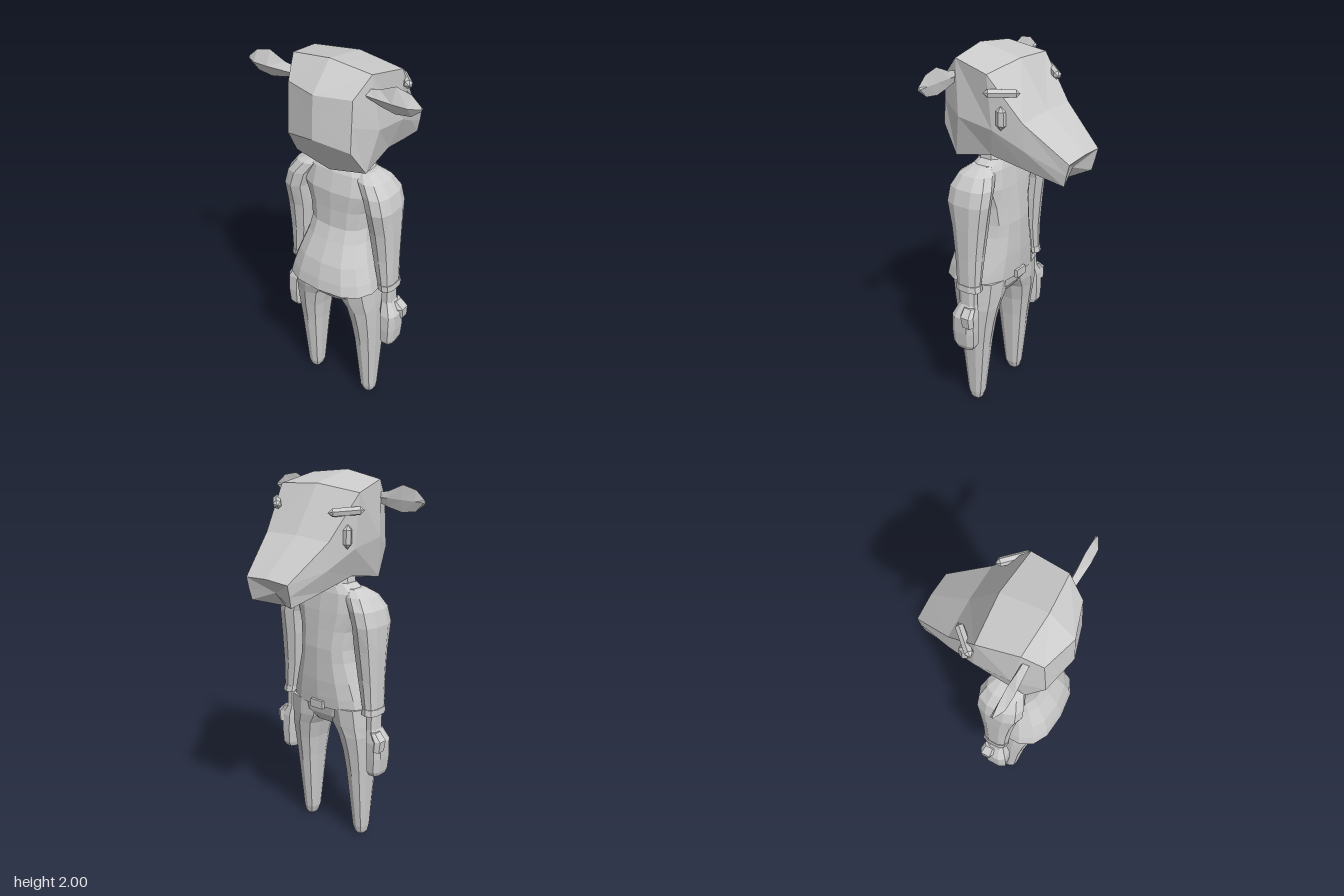
import * as THREE from 'three';

const grey = new THREE.MeshStandardMaterial({ color: 0xcccccc });
grey.name = 'plain grey';

// Flat-faced skin over rings of equal length, capped at both ends
function loft(rings) {
  const n = rings[0].length, tris = [];
  const v = rings.map(r => r.map(p => new THREE.Vector3(...p)));
  for (let i = 0; i < v.length - 1; i++) {
    for (let j = 0; j < n; j++) {
      const k = (j + 1) % n, a = v[i][j], b = v[i][k], c = v[i + 1][k], d = v[i + 1][j];
      tris.push([a, b, c], [a, c, d]);
    }
  }
  const cap = (r, flip) => {
    const m = r[0].clone().add(r[n / 2]).multiplyScalar(0.5);
    for (let j = 0; j < n; j++) {
      const k = (j + 1) % n;
      tris.push(flip ? [m, r[j], r[k]] : [m, r[k], r[j]]);
    }
  };
  cap(v[0], false);
  cap(v[v.length - 1], true);
  // Face the skin outwards whichever way the rings run
  let volume = 0;
  for (const [a, b, c] of tris) volume += a.dot(b.clone().cross(c));
  const pts = tris.flatMap(t => (volume < 0 ? [t[0], t[2], t[1]] : t));
  const g = new THREE.BufferGeometry().setFromPoints(pts);
  g.computeVertexNormals();
  return g;
}

// Level rounded ring spanning x0..x1 and z0..z1
function ring([y, x0, x1, z0, z1], side = 1, n = 10, square = 0.8) {
  const soft = t => Math.sign(t) * Math.pow(Math.abs(t), square);
  return Array.from({ length: n }, (_, i) => {
    const a = ((i + 0.5) / n) * Math.PI * 2;
    return [
      side * ((x0 + x1) / 2 + ((x1 - x0) / 2) * soft(Math.cos(a))),
      y,
      (z0 + z1) / 2 + ((z1 - z0) / 2) * soft(Math.sin(a)),
    ];
  });
}

// Half section (top centre round to bottom centre) mirrored to a full ring
const mirrored = h => [...h, ...h.slice(1, -1).reverse().map(([x, y, z]) => [-x, y, z])];

export function createModel() {
  const model = new THREE.Group();
  const add = (name, geometry, parent = model) => {
    const m = new THREE.Mesh(geometry, grey);
    m.name = name;
    parent.add(m);
    return m;
  };
  const stack = (rows, side, n, square) => loft(rows.map(r => ring(r, side, n, square)));

  // Head, from the back of the skull to the snout tip
  add('head', loft([
    [[0, 1.87, 0.365], [0.18, 1.87, 0.31], [0.18, 1.74, 0.32], [0.18, 1.61, 0.33], [0, 1.65, 0.38]],
    [[0, 2.0, 0.23], [0.22, 1.97, 0.215], [0.245, 1.69, 0.19], [0.205, 1.47, 0.24], [0, 1.43, 0.25]],
    [[0, 1.955, -0.01], [0.252, 1.93, 0.01], [0.245, 1.66, -0.01], [0.195, 1.51, 0.03], [0, 1.45, 0.03]],
    [[0, 1.72, -0.165], [0.203, 1.71, -0.16], [0.2, 1.57, -0.17], [0.165, 1.46, -0.16], [0, 1.41, -0.13]],
    [[0, 1.54, -0.385], [0.135, 1.53, -0.38], [0.135, 1.47, -0.365], [0.13, 1.41, -0.35], [0, 1.38, -0.25]],
  ].map(mirrored)));

  // Neck
  add('neck', stack([[1.52, -0.12, 0.12, 0.04, 0.2], [1.4, -0.14, 0.14, 0.03, 0.2]], 1, 10));

  // Jacket flaring out behind at the hem
  add('jacket', stack([
    [1.45, -0.13, 0.13, 0.04, 0.19],
    [1.4, -0.2, 0.2, 0.025, 0.22],
    [1.3, -0.21, 0.21, 0.01, 0.25],
    [1.2, -0.175, 0.175, 0.0, 0.25],
    [1.1, -0.165, 0.165, -0.01, 0.255],
    [1.03, -0.175, 0.175, -0.01, 0.285],
    [0.92, -0.21, 0.21, -0.01, 0.34],
    [0.83, -0.24, 0.24, -0.005, 0.365],
    [0.77, -0.255, 0.255, 0, 0.375],
  ], 1, 14, 0.75));
  add('buckle', new THREE.BoxGeometry(0.08, 0.045, 0.02)).position.set(0, 0.785, -0.006);

  // Seat of the trousers
  add('trouserSeat', stack([
    [0.78, -0.245, 0.245, 0.01, 0.345],
    [0.72, -0.22, 0.22, 0.02, 0.325],
    [0.665, -0.13, 0.13, 0.06, 0.28],
  ], 1, 12));

  for (const side of [1, -1]) {
    const half = new THREE.Group();
    half.name = side > 0 ? 'leftParts' : 'rightParts';
    model.add(half);

    // Leg
    add('leg', stack([
      [0.78, 0.01, 0.25, 0.01, 0.31],
      [0.68, 0.03, 0.255, 0.02, 0.295],
      [0.62, 0.07, 0.255, 0.03, 0.28],
      [0.52, 0.095, 0.25, 0.05, 0.265],
      [0.4, 0.11, 0.243, 0.07, 0.247],
      [0.05, 0.138, 0.222, 0.115, 0.212],
      [0.015, 0.15, 0.215, 0.125, 0.2],
      [0, 0.16, 0.205, 0.135, 0.19],
    ], side, 10), half);

    // Sleeve
    add('sleeve', stack([
      [1.425, 0.1, 0.19, 0.07, 0.18],
      [1.39, 0.11, 0.255, 0.035, 0.225],
      [1.33, 0.15, 0.3, 0.01, 0.25],
      [1.25, 0.175, 0.32, 0.01, 0.255],
      [1.12, 0.18, 0.322, 0.03, 0.225],
      [0.95, 0.2, 0.32, 0.05, 0.205],
      [0.77, 0.235, 0.318, 0.06, 0.195],
    ], side, 10), half);
    add('cuff', stack([
      [0.8, 0.23, 0.322, 0.055, 0.2],
      [0.765, 0.23, 0.325, 0.05, 0.2],
    ], side, 10), half);

    // Wrist, fist and thumb
    add('hand', stack([
      [0.78, 0.25, 0.31, 0.08, 0.18],
      [0.68, 0.25, 0.312, 0.08, 0.18],
      [0.61, 0.25, 0.352, 0.065, 0.21],
      [0.52, 0.255, 0.35, 0.065, 0.215],
      [0.44, 0.26, 0.342, 0.07, 0.21],
      [0.415, 0.265, 0.332, 0.085, 0.195],
    ], side, 8, 0.7), half);
    add('thumb', stack([
      [0.67, 0.285, 0.325, 0.07, 0.14],
      [0.63, 0.31, 0.365, 0.06, 0.14],
      [0.57, 0.305, 0.36, 0.06, 0.13],
    ], side, 6, 0.7), half);

    // Leaf-shaped ear with a raised ridge: x, bottom, top, ridge depth
    add('ear', loft([
      [0.19, 1.86, 1.9, 0.25],
      [0.265, 1.835, 1.915, 0.255],
      [0.35, 1.818, 1.953, 0.26],
      [0.43, 1.83, 1.935, 0.257],
      [0.482, 1.87, 1.89, 0.23],
    ].map(([x, lo, hi, z]) => [
      [side * x, hi, 0.225], [side * x, 1.88, z], [side * x, lo, 0.225], [side * x, 1.88, 0.215],
    ])), half);

    // Upright eye and slanted brow, each a small capsule
    const eye = add('eye', new THREE.CapsuleGeometry(0.026, 0.07, 1, 6).toNonIndexed(), half);
    eye.geometry.computeVertexNormals();
    eye.scale.x = 0.8;
    eye.position.set(side * 0.235, 1.725, -0.058);
    const brow = add('brow', new THREE.CapsuleGeometry(0.022, 0.135, 1, 6).toNonIndexed(), half);
    brow.geometry.computeVertexNormals();
    brow.position.set(side * 0.225, 1.845, -0.057);
    brow.quaternion.setFromUnitVectors(
      new THREE.Vector3(0, 1, 0), new THREE.Vector3(side * 0.68, 0.06, 0.73).normalize());
  }
  return model;
}
